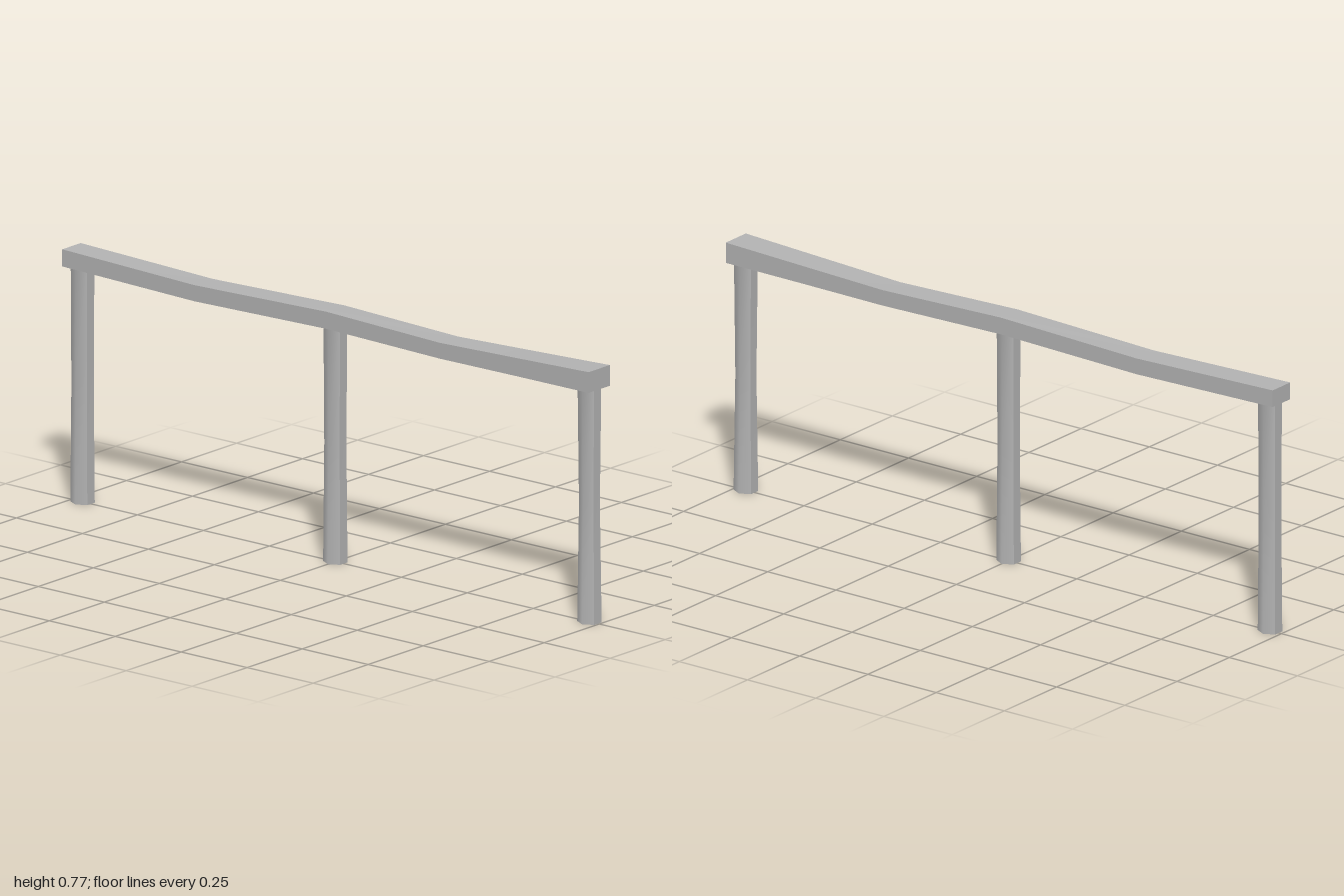
import * as THREE from 'three';
import { toCreasedNormals } from 'three/addons/utils/BufferGeometryUtils.js';

const stone = new THREE.MeshStandardMaterial({ color: 0xb4b4b4 });
stone.name = 'grey';

// Rail stations along x: [x, bottom, top, half depth]
const stations = [
  [-1, 0.716, 0.768, 0.042],
  [-0.5, 0.705, 0.754, 0.042],
  [0, 0.716, 0.768, 0.042],
  [0.43, 0.707, 0.755, 0.042],
  [0.72, 0.71, 0.765, 0.045],
  [1, 0.712, 0.775, 0.048],
];

// Sagging rail: a segmented box fitted to the stations
function railGeometry() {
  const n = stations.length - 1;
  const geo = new THREE.BoxGeometry(n, 1, 1, n, 1, 1);
  const p = geo.attributes.position;
  for (let i = 0; i < p.count; i++) {
    const [x, bottom, top, half] = stations[Math.round(p.getX(i) + n / 2)];
    p.setXYZ(i, x, p.getY(i) > 0 ? top : bottom, Math.sign(p.getZ(i)) * half);
  }
  return toCreasedNormals(geo, 0.6);
}

// Six-sided post with a slim waist; the front and back ridges stay soft
function postGeometry(waist) {
  const height = 0.72;
  const geo = new THREE.CylinderGeometry(0.033, 0.034, height, 6, 2);
  const p = geo.attributes.position;
  for (let i = 0; i < p.count; i++) {
    const s = Math.abs(p.getY(i)) < 0.01 ? waist : 1;
    p.setX(i, p.getX(i) * s * 1.09);
    p.setZ(i, p.getZ(i) * s);
  }
  geo.translate(0, height / 2, 0);
  return toCreasedNormals(geo, 1.01);
}

export function createModel() {
  const model = new THREE.Group();
  model.name = 'railing';
  const add = (name, geo, x = 0) => {
    const mesh = new THREE.Mesh(geo, stone);
    mesh.name = name;
    mesh.position.x = x;
    model.add(mesh);
  };

  add('rail', railGeometry());
  add('rightPost', postGeometry(0.93), -0.958);
  add('middlePost', postGeometry(0.92), 0);
  add('leftPost', postGeometry(0.87), 0.963);
  return model;
}
